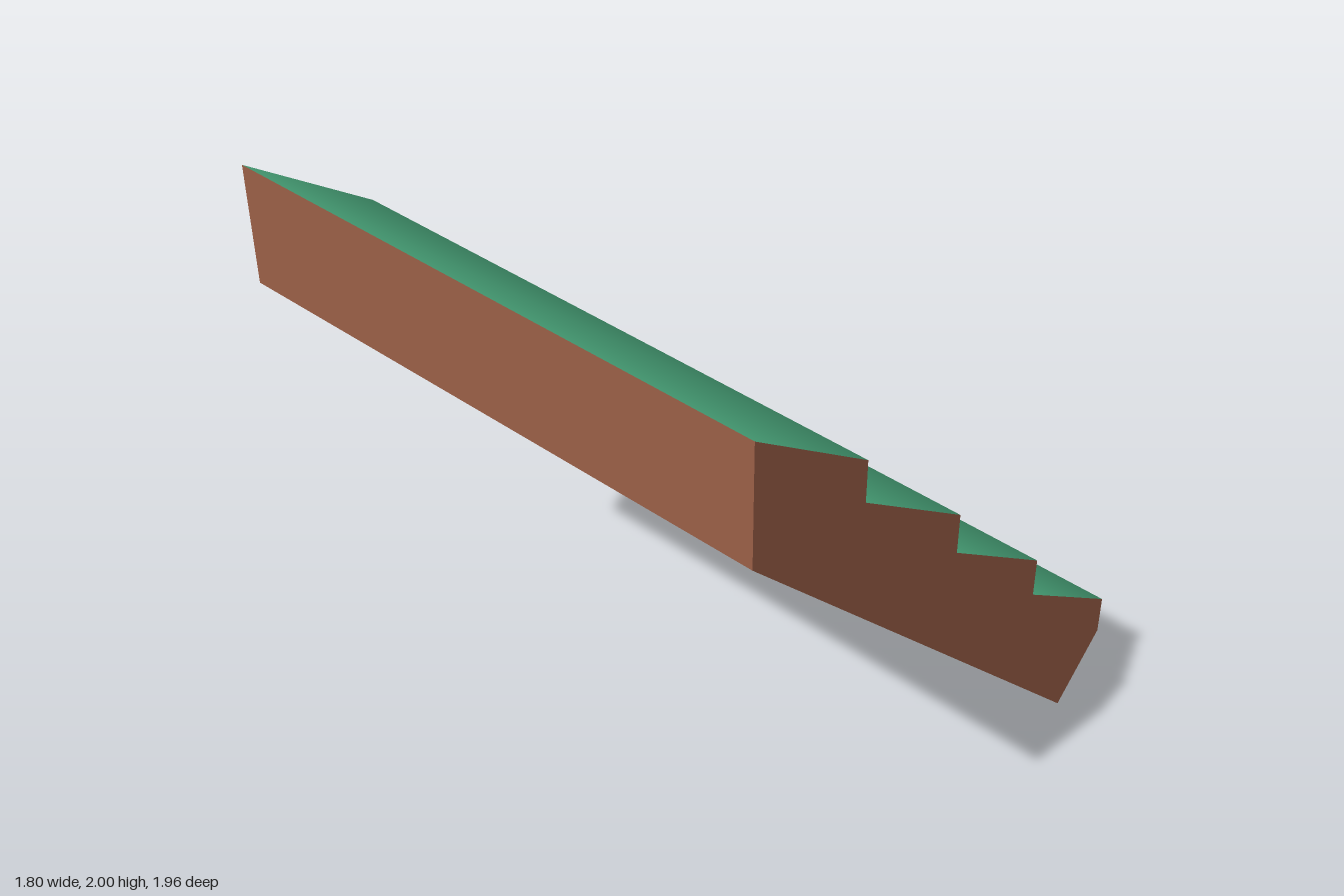
import * as THREE from 'three';

const HALF_DEPTH = 0.98;

// Sweeps a counter-clockwise profile line along z; smooth blends normals at inner points.
function sweep(points, smooth) {
  const pos = [], nor = [];
  const normals = points.slice(1).map((p, i) =>
    new THREE.Vector2(p.y - points[i].y, points[i].x - p.x).normalize());
  const normalAt = (point, segment) => {
    if (!smooth || point === 0 || point === normals.length) return normals[segment];
    return normals[point - 1].clone().add(normals[point]).normalize();
  };
  normals.forEach((_, i) => {
    const corners = [[i, 1], [i, -1], [i + 1, -1], [i, 1], [i + 1, -1], [i + 1, 1]];
    for (const [k, side] of corners) {
      const n = normalAt(k, i);
      pos.push(points[k].x, points[k].y, side * HALF_DEPTH);
      nor.push(n.x, n.y, 0);
    }
  });
  const geo = new THREE.BufferGeometry();
  geo.setAttribute('position', new THREE.Float32BufferAttribute(pos, 3));
  geo.setAttribute('normal', new THREE.Float32BufferAttribute(nor, 3));
  return geo;
}

export function createModel() {
  const group = new THREE.Group();
  const green = new THREE.MeshStandardMaterial({ name: 'green', color: 0x52b788 });
  const brown = new THREE.MeshStandardMaterial({ name: 'brown', color: 0x9a5f47 });
  const v = (x, y) => new THREE.Vector2(x, y);
  const add = (name, geometry, material) => {
    const mesh = new THREE.Mesh(geometry, material);
    mesh.name = name;
    group.add(mesh);
    return mesh;
  };

  // Four overlapping courses, from the low edge to the high edge
  const outline = [v(-0.9, 1.6), v(0.7, 0)];
  for (let i = 0; i < 4; i++) {
    const x = 0.9 - 0.45 * i, y = 0.2 + 0.45 * i;
    const course = [v(x, y), v(x, y + 0.14), v(x - 0.45, y + 0.45)];
    if (i === 3) course[2].y = 2;
    add(`course${i + 1}`, sweep(course, true), green);
    outline.push(course[0], course[1]);
  }
  outline.push(v(-0.9, 2));

  // Underside and the low and high end faces
  add('underside', sweep([v(-0.9, 1.6), v(0.7, 0)], false), brown);
  add('lowerEdge', sweep([v(0.7, 0), v(0.9, 0.2)], false), brown);
  add('upperEdge', sweep([v(-0.9, 2), v(-0.9, 1.6)], false), brown);

  // Stepped side faces
  add('frontSide', new THREE.ShapeGeometry(new THREE.Shape(outline)), brown).position.z = HALF_DEPTH;
  const mirrored = new THREE.Shape(outline.map((p) => v(-p.x, p.y)).reverse());
  const back = add('backSide', new THREE.ShapeGeometry(mirrored), brown);
  back.rotation.y = Math.PI;
  back.position.z = -HALF_DEPTH;

  return group;
}
